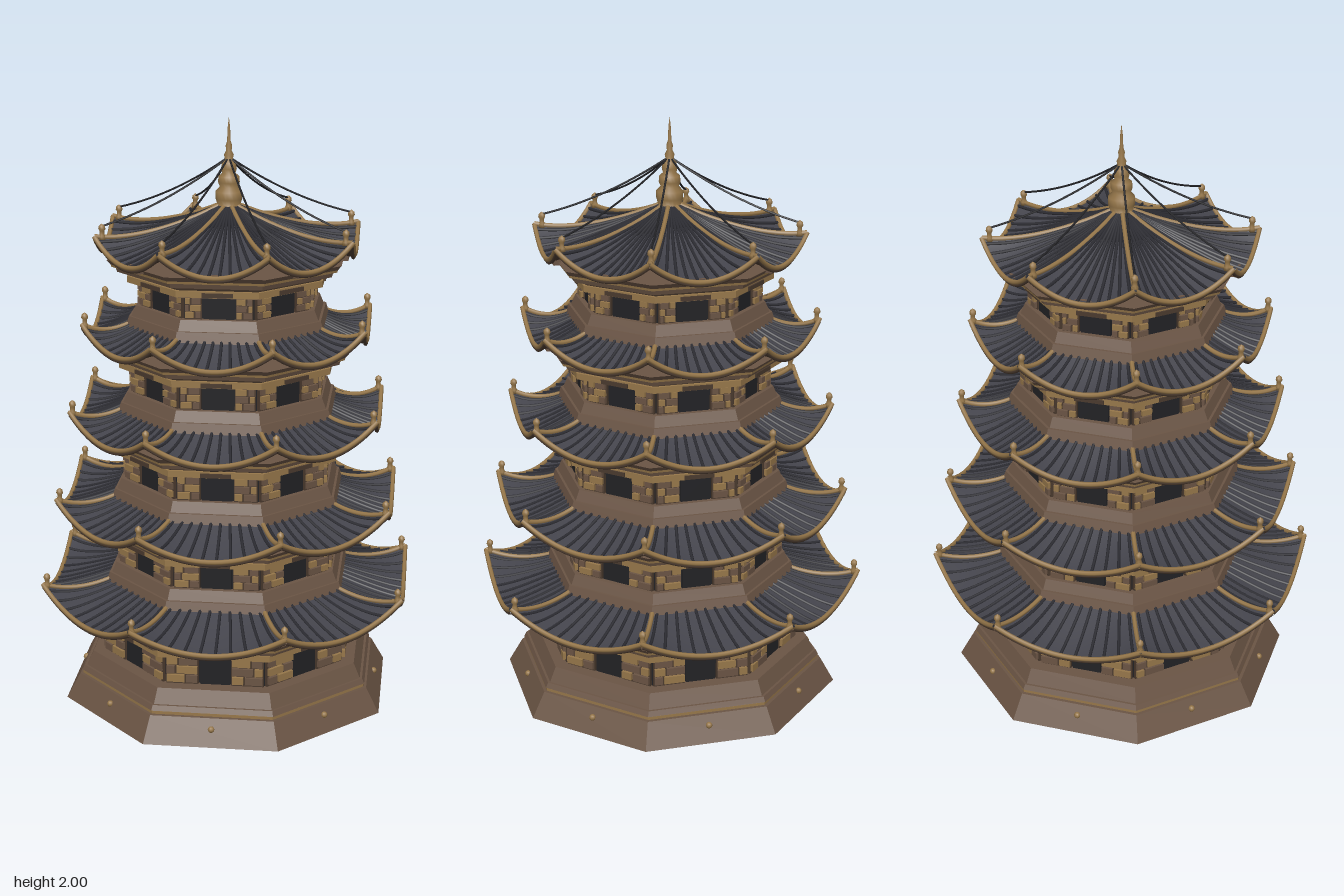
import * as THREE from 'three';

const mat = (name, color) => {
  const m = new THREE.MeshStandardMaterial({ color });
  m.name = name;
  return m;
};
const BROWN = mat('brown wood', 0x6a5444);
const DARK = mat('dark wood', 0x4a3a2e);
const BRASS = mat('brass', 0x96774a);
const TILE = mat('slate tile', 0x43434b);
const RIB = mat('dark tile', 0x2d2d33);
const BLACK = mat('black lacquer', 0x222225);

const TAN = Math.tan(Math.PI / 8), COS = Math.cos(Math.PI / 8);

function add(parent, name, geo, material, x = 0, y = 0, z = 0) {
  const m = new THREE.Mesh(geo, material);
  m.name = name;
  m.position.set(x, y, z);
  parent.add(m);
  return m;
}
const box = (w, h, d) => new THREE.BoxGeometry(w, h, d);

// Eight-sided turned solid from [apothem, y] pairs, flats facing the axes
function octagon(points) {
  const p = points.map(([a, y]) => new THREE.Vector2(a / COS, y));
  const g = new THREE.LatheGeometry(p, 8, Math.PI / 8).toNonIndexed();
  g.computeVertexNormals();
  return g;
}
const ring = (a0, y0, a1, y1) => octagon([[0, y0], [a0, y0], [a1, y1], [0, y1]]);
const turned = (pts, n) => new THREE.LatheGeometry(pts.map(p => new THREE.Vector2(...p)), n);

// Point on one roof face: u runs corner to corner (-1..1), s from eave to top (0..1)
function roofPoint(t, u, s, dy = 0) {
  const a = t.eave + (t.inner - t.eave) * s;
  const y = t.top + 0.09 + t.rise * Math.pow(s, 1.25) + 0.07 * u * u * (1 - s) * (1 - s);
  return new THREE.Vector3(u * a * TAN, y + dy, a);
}

function roofSheet(t, dy, flip) {
  const NU = 14, NS = 8, pos = [], idx = [];
  for (let j = 0; j <= NS; j++)
    for (let i = 0; i <= NU; i++) pos.push(...roofPoint(t, -1 + 2 * i / NU, j / NS, dy).toArray());
  for (let j = 0; j < NS; j++)
    for (let i = 0; i < NU; i++) {
      const a = j * (NU + 1) + i, b = a + 1, c = a + NU + 1, d = c + 1;
      if (flip) idx.push(a, d, b, a, c, d);
      else idx.push(a, b, d, a, d, c);
    }
  const g = new THREE.BufferGeometry();
  g.setAttribute('position', new THREE.Float32BufferAttribute(pos, 3));
  g.setIndex(idx);
  g.computeVertexNormals();
  return g;
}

// Tube along a line of roof points
function roofTube(fn, n, r, sides) {
  const pts = Array.from({ length: n + 1 }, (_, i) => fn(i / n));
  return new THREE.TubeGeometry(new THREE.CatmullRomCurve3(pts), n * 2, r, sides);
}

// Everything that repeats on each of the eight sides of a storey
function buildSide(t, index) {
  const side = new THREE.Group();
  const h = t.top - t.bottom, mid = (t.top + t.bottom) / 2;

  // Door and its frame
  add(side, 'door', box(0.1, h, 0.006), BLACK, 0, mid, t.wall - 0.016);
  // Boarded panels on both sides of the door
  const x0 = 0.055, x1 = (t.wall - 0.02) * TAN - 0.002, w = x1 - x0;
  for (const sx of [-1, 1]) {
    add(side, 'panel', box(w, h, 0.01), DARK, sx * (x0 + w / 2), mid, t.wall - 0.015);
    for (let row = 0; row < 3; row++) {
      const split = [0.62, 0.4, 0.7][(row + index) % 3];
      const y = t.bottom + h * (0.2 + 0.3 * row);
      for (let k = 0; k < 2; k++) {
        const bw = w * (k ? 1 - split : split) - 0.006;
        const bx = x0 + (k ? w * split + bw / 2 + 0.003 : bw / 2 + 0.003);
        const brass = (row + k + index + (sx > 0 ? 1 : 0)) % 2 === 0;
        add(side, 'board', box(bw, h * 0.24, 0.018), brass ? BRASS : BROWN, sx * bx, y, t.wall - 0.009);
      }
    }
  }
  // Plaque over the door and bracket under the eave
  add(side, 'plaque', box(0.1, 0.014, 0.008), DARK, 0, t.top + 0.014, t.wall + 0.031);
  add(side, 'eaveBracket', box(0.08, 0.024, 0.025), BROWN, 0, t.top + 0.085, t.wall + 0.095);

  // Roof face: tiles, underside, ribs, brass eave and hip ridge
  add(side, 'roofTiles', t.geo.tiles, TILE);
  add(side, 'roofUnderside', t.geo.under, DARK);
  for (const g of t.geo.ribs) add(side, 'tileRib', g, RIB);
  add(side, 'eaveTrim', t.geo.trim, BRASS);
  add(side, 'eaveFascia', t.geo.fascia, DARK);
  add(side, 'hipRidge', t.geo.hip, BRASS);
  const c = roofPoint(t, 1, 0.06);
  add(side, 'cornerFinial', t.geo.finial, BRASS, c.x, c.y - 0.005, c.z);
  return side;
}

export function createModel() {
  const model = new THREE.Group();
  model.name = 'pagoda';

  // wall apothem, window bottom and top, eave apothem
  const tiers = [
    [0.42, 0.165, 0.27, 0.61], [0.368, 0.488, 0.573, 0.56], [0.346, 0.79, 0.878, 0.511],
    [0.322, 1.094, 1.175, 0.465], [0.292, 1.39, 1.465, 0.42],
  ].map(([wall, bottom, top, eave]) => ({ wall, bottom, top, eave }));

  const finial = turned([[0, 0], [0.012, 0], [0.012, 0.012], [0.008, 0.018], [0.008, 0.03],
    [0.012, 0.036], [0.01, 0.046], [0, 0.054]], 8);

  // Stepped plinth with a brass line and studs
  add(model, 'plinth', octagon([[0, 0], [0.542, 0], [0.497, 0.085], [0.478, 0.085], [0.478, 0.098],
    [0.49, 0.098], [0.482, 0.115], [0.474, 0.115], [0.452, 0.165], [0, 0.165]]), BROWN);
  add(model, 'plinthTrim', ring(0.487, 0.086, 0.487, 0.096), BRASS);
  for (let k = 0; k < 8; k++) {
    const a = k * Math.PI / 4;
    add(model, 'stud', new THREE.SphereGeometry(0.011, 10, 8), BRASS,
      0.515 * Math.sin(a), 0.053, 0.515 * Math.cos(a));
  }

  tiers.forEach((t, i) => {
    const next = tiers[i + 1];
    t.inner = next ? next.wall + 0.015 : 0.03;
    t.rise = next ? next.bottom - 0.058 - (t.top + 0.09) : 0.15;
    t.geo = {
      finial,
      tiles: roofSheet(t, 0, false),
      under: roofSheet(t, -0.008, true),
      trim: roofTube(v => roofPoint(t, v * 2 - 1, 0, 0.002), 12, 0.008, 6),
      fascia: roofTube(v => roofPoint(t, v * 2 - 1, 0.01, -0.009), 12, 0.006, 5),
      hip: roofTube(v => roofPoint(t, 1, v, 0.004), 10, 0.008, 6),
      ribs: Array.from({ length: 10 }, (_, k) =>
        roofTube(v => roofPoint(t, -0.9 + 0.2 * k, v, 0.002), 5, 0.0055, 5)),
    };
    const storey = new THREE.Group();
    storey.name = 'storey' + (i + 1);
    model.add(storey);

    // Flared foot, dark core, brass band and flaring cornice
    const w = t.wall, T = t.top;
    if (i > 0) {
      add(storey, 'storeyFoot', octagon([[0, t.bottom - 0.075], [w + 0.038, t.bottom - 0.075],
        [w + 0.026, t.bottom - 0.035], [w + 0.018, t.bottom - 0.035], [w + 0.004, t.bottom],
        [0, t.bottom]]), BROWN);
    }
    add(storey, 'wall', ring(w - 0.02, t.bottom, w - 0.02, T), BLACK);
    add(storey, 'lintel', ring(w + 0.015, T, w + 0.015, T + 0.006), BROWN);
    add(storey, 'brassBand', ring(w + 0.03, T + 0.005, w + 0.03, T + 0.026), BRASS);
    add(storey, 'cornice', octagon([[0, T + 0.026], [w + 0.02, T + 0.026], [w + 0.035, T + 0.038],
      [w + 0.06, T + 0.042], [w + 0.066, T + 0.06], [0, T + 0.06]]), BROWN);
    add(storey, 'corniceTrim', ring(w + 0.078, T + 0.06, w + 0.08, T + 0.068), BRASS);
    add(storey, 'eaveBeam', ring(w + 0.08, T + 0.068, w + 0.092, T + 0.083), BROWN);

    for (let k = 0; k < 8; k++) {
      const side = buildSide(t, k);
      side.name = 'side' + (k + 1);
      side.rotation.y = k * Math.PI / 4;
      storey.add(side);
    }
  });

  // Spire
  add(model, 'spire', turned([[0, 1.68], [0.06, 1.68], [0.058, 1.698], [0.036, 1.705], [0.044, 1.73],
    [0.044, 1.755], [0.03, 1.77], [0.036, 1.785], [0.034, 1.805], [0.022, 1.815], [0.026, 1.83],
    [0.022, 1.85], [0.013, 1.86], [0.016, 1.875], [0.009, 1.89], [0.011, 1.905], [0.006, 1.92],
    [0.004, 1.965], [0, 2]], 20), BRASS);

  // Chains from the spire to the top roof corners
  const tip = roofPoint(tiers[4], 1, 0.06, 0.04);
  const chain = new THREE.TubeGeometry(new THREE.QuadraticBezierCurve3(
    new THREE.Vector3(0, 1.868, 0),
    new THREE.Vector3(tip.x * 0.5, (1.868 + tip.y) / 2 - 0.045, tip.z * 0.5), tip), 16, 0.0035, 5);
  for (let k = 0; k < 8; k++) add(model, 'chain', chain, BLACK).rotation.y = k * Math.PI / 4;

  return model;
}
